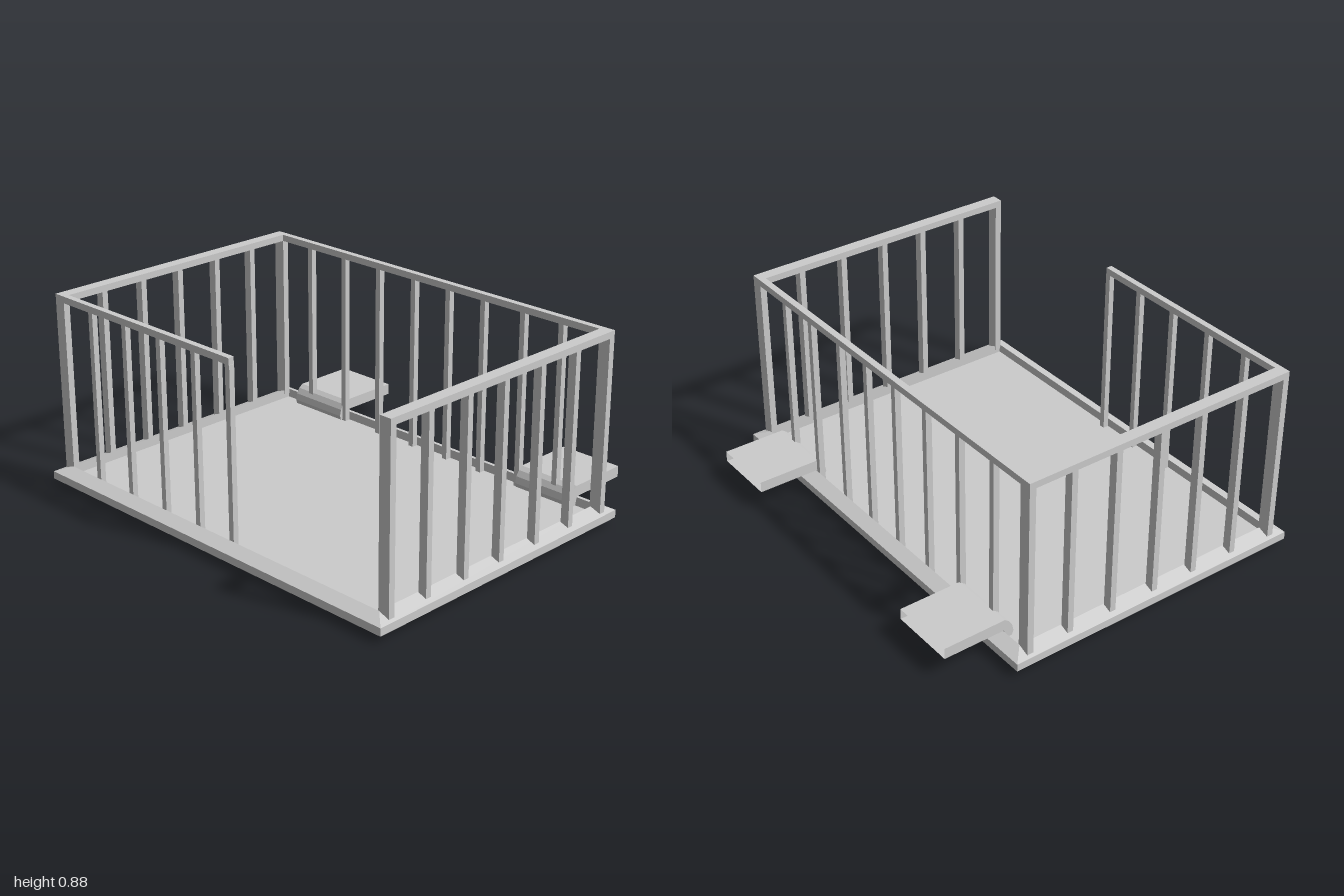
import * as THREE from 'three';

const grey = new THREE.MeshStandardMaterial({ color: 0xcccccc, side: THREE.DoubleSide });
grey.name = 'plain grey';

// Box given by its lower and upper corners
function block(name, x0, x1, y0, y1, z0, z1) {
  const mesh = new THREE.Mesh(new THREE.BoxGeometry(x1 - x0, y1 - y0, z1 - z0), grey);
  mesh.position.set((x0 + x1) / 2, (y0 + y1) / 2, (z0 + z1) / 2);
  mesh.name = name;
  return mesh;
}

// Bevelled tray made of stacked rectangular rings: [xMin, xMax, y, zHalf]
function makeTray() {
  const rings = [
    [-0.785, 0.555, 0, 0.95],
    [-0.83, 0.6, 0.03, 1],
    [-0.83, 0.6, 0.065, 1],
    [-0.77, 0.54, 0.09, 0.935],
    [-0.77, 0.54, 0.05, 0.935],
  ].map(([a, b, y, z]) => [[a, y, z], [b, y, z], [b, y, -z], [a, y, -z]]);
  const pos = [];
  const quad = (a, b, c, d) => pos.push(...a, ...b, ...c, ...a, ...c, ...d);
  for (let i = 0; i < rings.length - 1; i++) {
    for (let j = 0; j < 4; j++) {
      const k = (j + 1) % 4;
      quad(rings[i][j], rings[i][k], rings[i + 1][k], rings[i + 1][j]);
    }
  }
  quad(...rings[4]);
  quad(...[...rings[0]].reverse());
  const geo = new THREE.BufferGeometry();
  geo.setAttribute('position', new THREE.Float32BufferAttribute(pos, 3));
  geo.computeVertexNormals();
  const mesh = new THREE.Mesh(geo, grey);
  mesh.name = 'baseTray';
  return mesh;
}

// Hollow side bracket: curled inner lip, open outer end
function makeBracket(z0, z1) {
  const end = 0.825;
  const shape = new THREE.Shape([
    [end, 0.145], [0.535, 0.145], [0.515, 0.13], [0.5, 0.105], [0.493, 0.075],
    [0.5, 0.055], [0.53, 0.055], [0.54, 0.095], [end, 0.095],
  ].map(([x, y]) => new THREE.Vector2(x, y)));
  const solid = new THREE.ExtrudeGeometry(shape, { depth: z1 - z0, bevelEnabled: false });
  const src = solid.toNonIndexed ? (solid.index ? solid.toNonIndexed() : solid) : solid;
  const p = src.attributes.position;
  const kept = [];
  for (let i = 0; i < p.count; i += 3) {
    const outer = [0, 1, 2].every((k) => p.getX(i + k) > end - 0.001);
    if (!outer) for (let k = 0; k < 3; k++) kept.push(p.getX(i + k), p.getY(i + k), p.getZ(i + k) + z0);
  }
  const geo = new THREE.BufferGeometry();
  geo.setAttribute('position', new THREE.Float32BufferAttribute(kept, 3));
  geo.computeVertexNormals();
  const mesh = new THREE.Mesh(geo, grey);
  mesh.name = 'sideBracket';
  return mesh;
}

export function createModel() {
  const model = new THREE.Group();
  model.name = 'railedPlatform';
  model.add(makeTray());

  const railLow = 0.85, railTop = 0.88;

  // Front and back fences
  for (const side of [1, -1]) {
    const fence = new THREE.Group();
    fence.name = side > 0 ? 'frontFence' : 'backFence';
    const span = (inner, outer) => (side > 0 ? [inner, outer] : [-outer, -inner]);
    fence.add(block('topRail', -0.77, 0.54, railLow, railTop, ...span(0.93, 0.985)));
    for (const x of [-0.755, 0.525]) {
      fence.add(block('cornerPost', x - 0.015, x + 0.015, 0.07, railLow, ...span(0.93, 0.985)));
    }
    for (const x of [-0.543, -0.327, -0.117, 0.103, 0.32]) {
      fence.add(block('post', x - 0.014, x + 0.014, 0.07, railLow, ...span(0.938, 0.977)));
    }
    model.add(fence);
  }

  // Long fence on +x, shorter fence on -x
  const postZ = [-0.75, -0.53, -0.31, -0.095, 0.11, 0.31, 0.53, 0.735];
  const sides = [
    ['leftFence', 0.51, 0.54, 0.93, postZ],
    ['rightFence', -0.77, -0.742, 0.12, postZ.slice(0, 5)],
  ];
  for (const [name, x0, x1, zEnd, posts] of sides) {
    const fence = new THREE.Group();
    fence.name = name;
    fence.add(block('topRail', x0, x1, railLow, railTop, -0.93, zEnd));
    for (const z of posts) {
      fence.add(block('post', x0 + 0.001, x1 - 0.001, 0.05, railLow, z - 0.013, z + 0.013));
    }
    model.add(fence);
  }

  // Brackets reaching out over the +x edge
  model.add(makeBracket(0.54, 0.84), makeBracket(-0.835, -0.535));
  return model;
}
